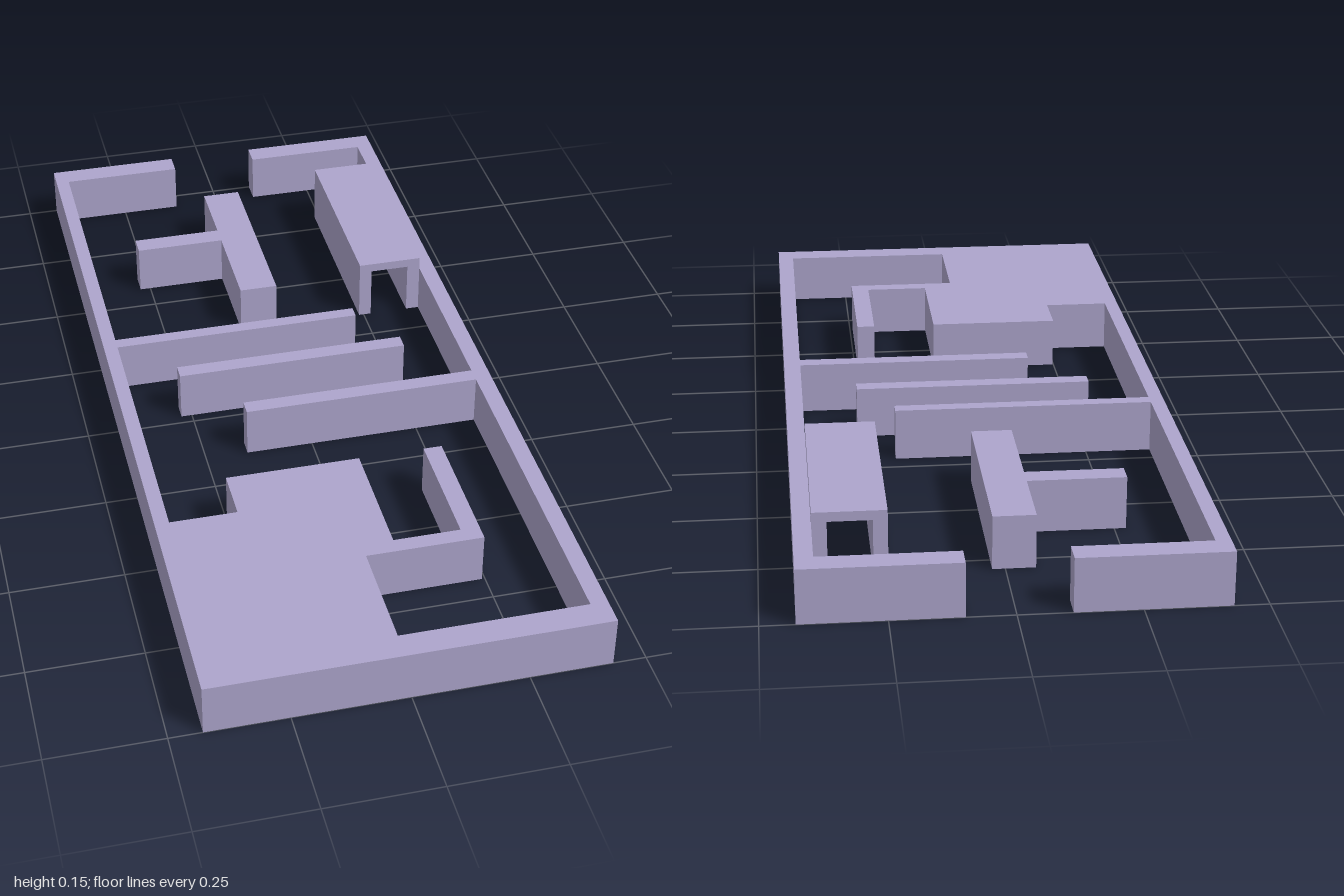
import * as THREE from 'three';

const HEIGHT = 0.117;

// Drop the triangles lying on the ground: every part is a shell open below.
function openBelow(geometry) {
  const geo = geometry.index ? geometry.toNonIndexed() : geometry;
  const p = geo.attributes.position;
  const kept = [];
  for (let i = 0; i < p.count; i += 3) {
    if (Math.max(p.getY(i), p.getY(i + 1), p.getY(i + 2)) < 1e-4) continue;
    for (let j = i; j < i + 3; j++) kept.push(p.getX(j), p.getY(j), p.getZ(j));
  }
  const out = new THREE.BufferGeometry();
  out.setAttribute('position', new THREE.Float32BufferAttribute(kept, 3));
  out.computeVertexNormals();
  return out;
}

// Raise a floor plan given as [x, z] corners to the wall height.
function raisePlan(corners) {
  const shape = new THREE.Shape(corners.map(([x, z]) => new THREE.Vector2(x, -z)));
  const geo = new THREE.ExtrudeGeometry(shape, { depth: HEIGHT, bevelEnabled: false });
  return openBelow(geo.rotateX(-Math.PI / 2));
}

export function createModel() {
  const group = new THREE.Group();
  const lilac = new THREE.MeshStandardMaterial({ color: 0xada5cc, side: THREE.DoubleSide });
  lilac.name = 'lilac';

  function add(name, geometry) {
    const mesh = new THREE.Mesh(geometry, lilac);
    mesh.name = name;
    group.add(mesh);
  }

  // Outer wall with the attached partitions and the corner block, as one outline
  add('outerWalls', raisePlan([
    [-0.429, 1], [0.429, 1], [0.429, -1], [0.1, -1], [0.1, -0.946], [0.391, -0.946],
    // right-hand partition
    [0.391, 0.109], [-0.153, 0.109], [-0.153, 0.146], [0.391, 0.146],
    // front wall, hooked wall and corner block
    [0.391, 0.94], [-0.016, 0.94], [-0.016, 0.69], [0.243, 0.69], [0.243, 0.368],
    [0.201, 0.368], [0.201, 0.654], [0.053, 0.654], [0.053, 0.368], [-0.248, 0.368],
    [-0.248, 0.488], [-0.397, 0.488],
    // left-hand partition
    [-0.397, -0.172], [0.185, -0.172], [0.185, -0.203], [-0.397, -0.203],
    [-0.397, -0.946], [-0.111, -0.946], [-0.111, -1], [-0.429, -1],
  ]));

  // Free-standing walls
  add('middleWall', raisePlan([
    [-0.275, -0.024], [0.265, -0.024], [0.265, -0.061], [-0.275, -0.061],
  ]));
  add('teeWall', raisePlan([
    [-0.063, -0.34], [0.027, -0.34], [0.027, -0.793], [-0.063, -0.793],
    [-0.063, -0.622], [-0.275, -0.622], [-0.275, -0.574], [-0.063, -0.574],
  ]));

  // Tunnel: an arch profile drawn out along z
  const arch = new THREE.Shape([
    [0.238, 0], [0.268, 0], [0.268, 0.126], [0.36, 0.126],
    [0.36, 0], [0.391, 0], [0.391, 0.147], [0.238, 0.147],
  ].map(([x, y]) => new THREE.Vector2(x, y)));
  const tunnel = new THREE.ExtrudeGeometry(arch, { depth: 0.472, bevelEnabled: false });
  add('tunnel', openBelow(tunnel.translate(0, 0, -0.807)));

  return group;
}
